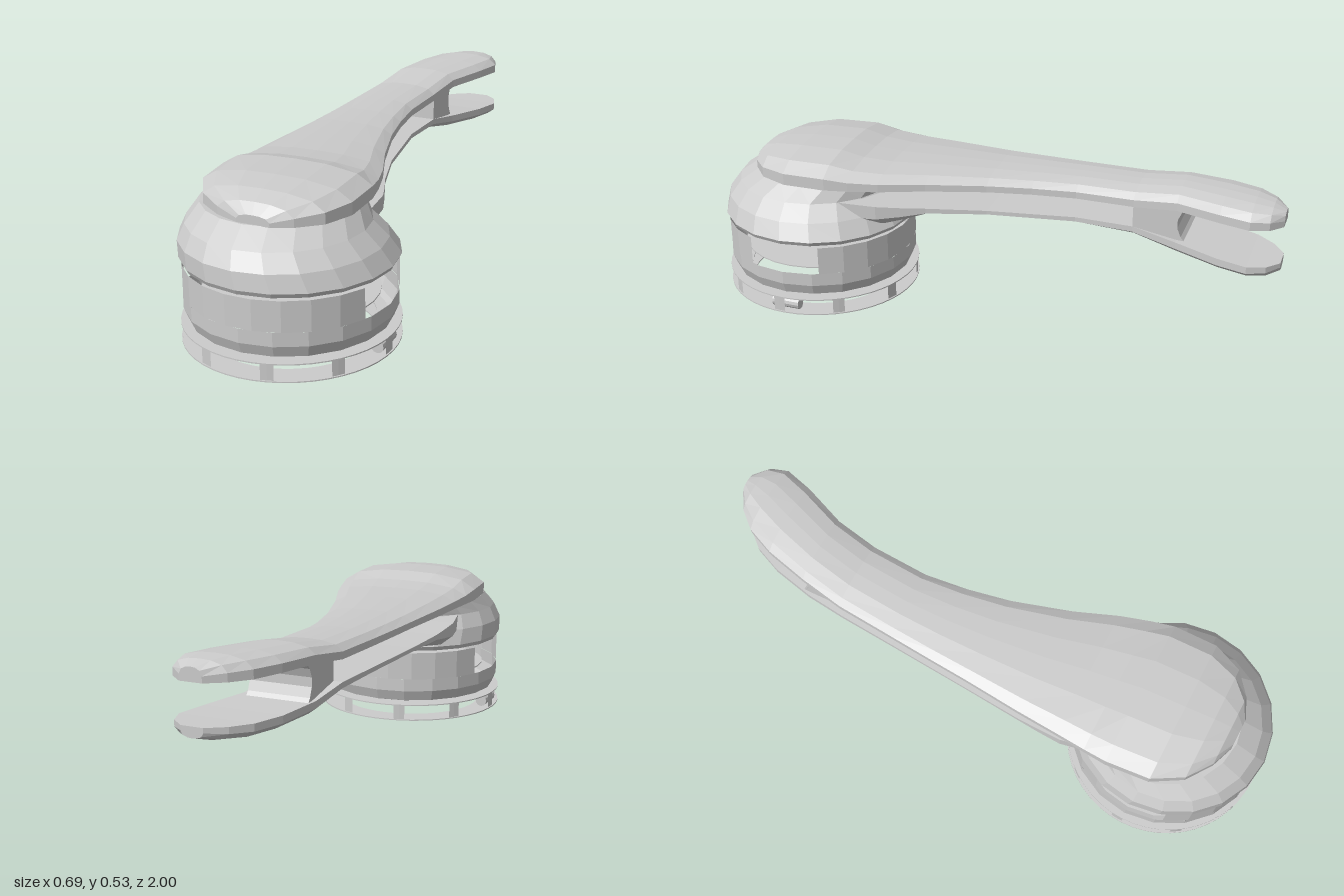
import * as THREE from 'three';

const solid = new THREE.MeshStandardMaterial({ color: 0xcccccc, flatShading: true });
const sheet = new THREE.MeshStandardMaterial({ color: 0xcccccc, flatShading: true, side: THREE.DoubleSide });
const BASE_Z = 0.65; // centre of the round base

// Skin a stack of equal-length rings, with a fan cap at both ends
function loft(rings) {
  const n = rings[0].length, pos = [], index = [];
  rings.forEach(r => r.forEach(p => pos.push(...p)));
  for (let i = 0; i < rings.length - 1; i++) {
    for (let j = 0; j < n; j++) {
      const a = i * n + j, b = i * n + (j + 1) % n;
      index.push(a, b, a + n, b, b + n, a + n);
    }
  }
  const cap = (ring, start, flip) => {
    const c = pos.length / 3;
    pos.push(...[0, 1, 2].map(k => ring.reduce((s, p) => s + p[k], 0) / n));
    for (let j = 0; j < n; j++) {
      const a = start + j, b = start + (j + 1) % n;
      index.push(c, flip ? b : a, flip ? a : b);
    }
  };
  cap(rings[0], 0, true);
  cap(rings[rings.length - 1], (rings.length - 1) * n, false);
  const g = new THREE.BufferGeometry();
  g.setAttribute('position', new THREE.Float32BufferAttribute(pos, 3));
  g.setIndex(index);
  g.computeVertexNormals();
  return g;
}

// Arm cross-section: flat on the inner side, rounded on the outer side
function section([z, xl, xr, inner, outer]) {
  const w = xr - xl, h = outer - inner;
  const pts = [[0, 0], [1, 0], [1, 0.45], [0.9, 0.8], [0.7, 0.97], [0.5, 1], [0.3, 0.97], [0.1, 0.8], [0, 0.45]]
    .map(([u, v]) => [xl + u * w, inner + v * h, z]);
  return h < 0 ? pts.reverse() : pts;
}

export function createModel() {
  const model = new THREE.Group();
  const add = (name, geometry, [x, y, z] = [0, 0, 0], material = solid) => {
    const mesh = new THREE.Mesh(geometry, material);
    mesh.name = name;
    mesh.position.set(x, y, z);
    model.add(mesh);
  };

  // Curved arm: upper half, with the raised cap over the base
  add('upperArmShell', loft([
    [-1.0, -0.035, 0.04, 0.46, 0.505],
    [-0.96, -0.095, 0.085, 0.46, 0.52],
    [-0.9, -0.145, 0.105, 0.46, 0.525],
    [-0.8, -0.185, 0.08, 0.46, 0.522],
    [-0.65, -0.217, 0.025, 0.455, 0.515],
    [-0.5, -0.237, 0.005, 0.437, 0.492],
    [-0.3, -0.248, 0.0, 0.435, 0.487],
    [-0.15, -0.257, 0.02, 0.435, 0.485],
    [0.0, -0.265, 0.052, 0.435, 0.485],
    [0.2, -0.28, 0.115, 0.435, 0.49],
    [0.35, -0.288, 0.175, 0.435, 0.495],
    [0.45, -0.295, 0.205, 0.435, 0.505],
    [0.53, -0.3, 0.222, 0.435, 0.526],
    [0.68, -0.285, 0.225, 0.435, 0.526],
    [0.78, -0.225, 0.185, 0.435, 0.515],
    [0.84, -0.14, 0.115, 0.435, 0.495],
    [0.87, -0.06, 0.05, 0.435, 0.465],
  ].map(section)));

  // Lower half, flaring down into the base housing
  add('lowerArmShell', loft([
    [-1.0, -0.035, 0.04, 0.33, 0.295],
    [-0.96, -0.095, 0.085, 0.33, 0.283],
    [-0.9, -0.145, 0.105, 0.33, 0.277],
    [-0.8, -0.185, 0.08, 0.332, 0.278],
    [-0.65, -0.217, 0.025, 0.34, 0.288],
    [-0.5, -0.237, 0.005, 0.365, 0.322],
    [-0.3, -0.248, 0.0, 0.365, 0.33],
    [0.0, -0.265, 0.052, 0.365, 0.335],
    [0.2, -0.278, 0.115, 0.37, 0.33],
    [0.28, -0.28, 0.15, 0.375, 0.3],
    [0.36, -0.28, 0.18, 0.38, 0.275],
    [0.5, -0.25, 0.2, 0.385, 0.27],
  ].map(section)));

  // Web between the fork tips, hollowed on the open end
  const web = new THREE.Shape();
  web.moveTo(-0.5, 0.35);
  web.lineTo(-0.69, 0.32);
  web.quadraticCurveTo(-0.61, 0.4, -0.69, 0.47);
  web.lineTo(-0.5, 0.455);
  web.closePath();
  add('forkWeb', new THREE.ExtrudeGeometry(web, { depth: 0.21, bevelEnabled: false, curveSegments: 5 })
    .rotateY(-Math.PI / 2), [0.005, 0, 0]);

  // Base housing: rings lean toward -x as they rise, the last dips at the back [y, radius, x, z, dip]
  add('baseHousing', loft([
    [0.265, 0.335, 0, 0.65, 0],
    [0.28, 0.343, 0, 0.65, 0],
    [0.335, 0.325, -0.016, 0.662, 0],
    [0.385, 0.288, -0.03, 0.664, 0],
    [0.436, 0.257, -0.036, 0.622, 0.03],
  ].map(([y, r, cx, cz, dip]) => Array.from({ length: 20 }, (_, i) => {
    const a = i / 20 * Math.PI * 2;
    return [cx + r * Math.cos(a), y - dip * Math.max(0, Math.sin(a)), cz - r * Math.sin(a)];
  }))));

  // Upper collar: front and back arcs, leaving a window on each side
  const gap = 0.39;
  for (const [name, start] of [['frontCollar', -Math.PI / 2], ['backCollar', Math.PI / 2]]) {
    add(name, new THREE.CylinderGeometry(0.335, 0.335, 0.1, 9, 1, true, start + gap, Math.PI - gap * 2),
      [0, 0.206, BASE_Z], sheet);
  }

  // Lower collar with the disc that closes it
  add('lowerCollar', new THREE.LatheGeometry([[0.3, 0.066], [0.32, 0.072], [0.335, 0.11], [0.335, 0.156]]
    .map(p => new THREE.Vector2(...p)), 20), [0, 0, BASE_Z], sheet);
  add('innerDisc', new THREE.CylinderGeometry(0.28, 0.28, 0.004, 28), [0, 0.154, BASE_Z]);

  // Open mounting base: two thin rings with ribs and pins between them
  const ring = new THREE.Shape().absarc(0, 0, 0.345, 0, Math.PI * 2);
  ring.holes.push(new THREE.Path().absarc(0, 0, 0.265, 0, Math.PI * 2, true));
  const ringGeometry = new THREE.ExtrudeGeometry(ring, { depth: 0.004, bevelEnabled: false, curveSegments: 24 })
    .rotateX(-Math.PI / 2);
  add('floorRing', ringGeometry, [0, 0, BASE_Z]);
  add('topRing', ringGeometry, [0, 0.057, BASE_Z]);
  for (let i = 0; i < 10; i++) {
    add('baseWallRib', new THREE.CylinderGeometry(0.34, 0.34, 0.054, 2, 1, true, i * Math.PI / 5 + 0.2, 0.12),
      [0, 0.031, BASE_Z], sheet);
  }
  for (const side of [-1, 1]) {
    add('basePin', new THREE.CylinderGeometry(0.021, 0.021, 0.1, 12).rotateX(Math.PI / 2),
      [side * 0.313, 0.03, BASE_Z]);
  }
  return model;
}
